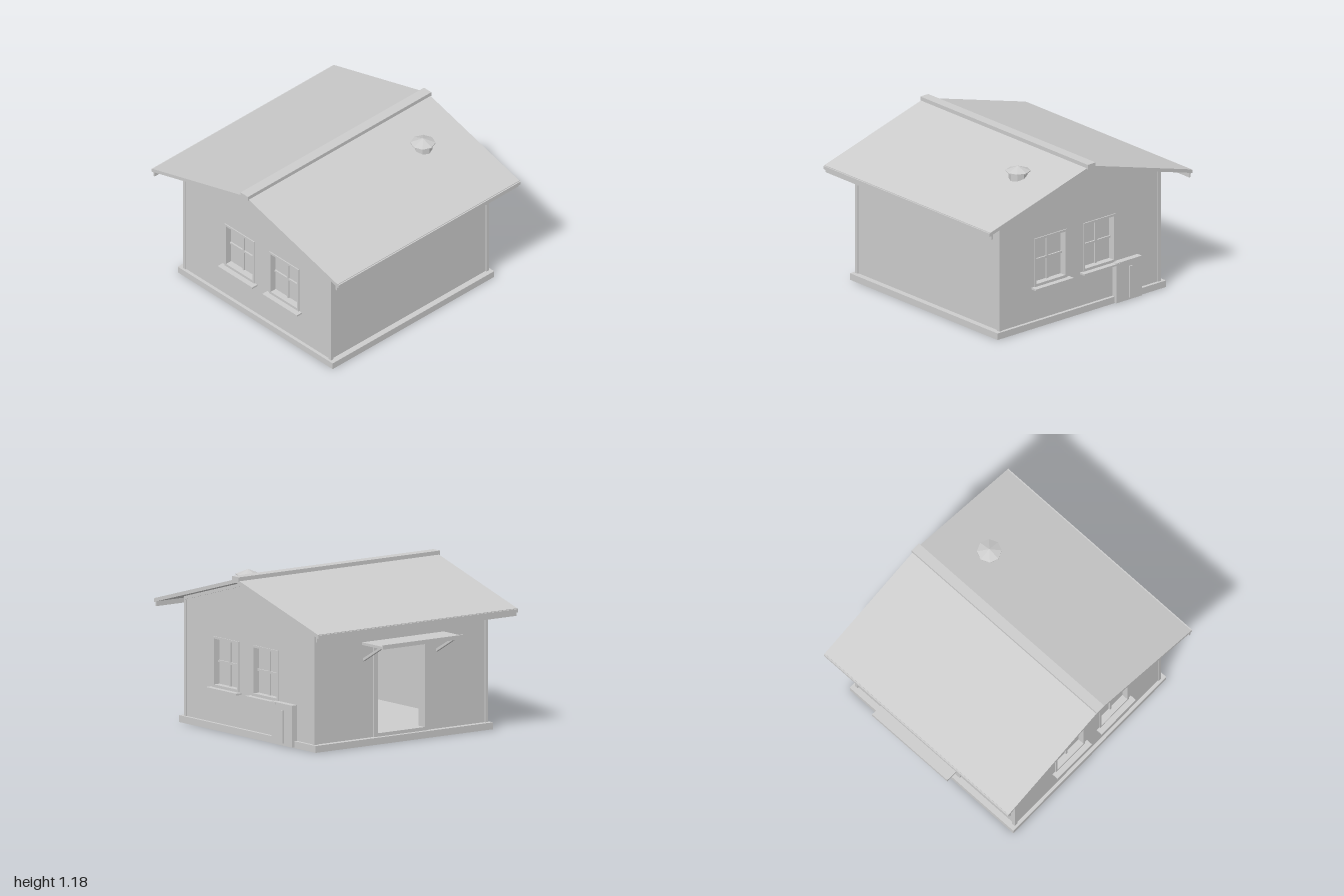
import * as THREE from 'three';

const ZC = 0.0325; // ridge line position in z
const WX = 0.775, WD = 0.757; // half width and half depth of the walls
const T = 0.05; // wall thickness

export function createModel() {
  const house = new THREE.Group();
  house.name = 'house';
  const grey = new THREE.MeshStandardMaterial({ color: 0xcccccc });
  grey.name = 'plain grey';

  const add = (name, geometry, parent = house) => {
    const mesh = new THREE.Mesh(geometry, grey);
    mesh.name = name;
    parent.add(mesh);
    return mesh;
  };
  // box given by its ranges
  const box = (name, x0, x1, y0, y1, z0, z1, parent) => {
    const g = new THREE.BoxGeometry(x1 - x0, y1 - y0, z1 - z0);
    g.translate((x0 + x1) / 2, (y0 + y1) / 2, (z0 + z1) / 2);
    return add(name, g, parent);
  };
  const polygon = (pts) => new THREE.Shape(pts.map(([a, b]) => new THREE.Vector2(a, b)));
  const rectPath = (a0, a1, b0, b1) =>
    new THREE.Path([[a0, b0], [a0, b1], [a1, b1], [a1, b0]].map(([a, b]) => new THREE.Vector2(a, b)));
  // side profile (z, y) extruded between two x positions
  const profile = (name, shape, x0, x1, parent) => {
    const g = new THREE.ExtrudeGeometry(shape, { depth: x1 - x0, bevelEnabled: false });
    g.rotateY(-Math.PI / 2);
    g.translate(x1, 0, 0);
    return add(name, g, parent);
  };
  // height of the roof underside at distance d from the ridge line
  const under = (d) => 1.135 - 0.2835 * d;
  // inverted V band following the roof slope
  const chevron = (half, low, high) => polygon([
    [ZC - half, under(half) + low], [ZC, under(0) + low], [ZC + half, under(half) + low],
    [ZC + half, under(half) + high], [ZC, under(0) + high], [ZC - half, under(half) + high],
  ]);

  // foundation and floor
  box('foundation', -0.8, 0.8, 0, 0.05, ZC - 0.802, ZC + 0.802);

  // front and back walls
  const top = under(WD);
  box('frontWall', -WX, WX, 0.05, top, ZC + WD - T, ZC + WD);
  const backShape = polygon([[-WX, 0.05], [WX, 0.05], [WX, top], [-WX, top]]);
  backShape.holes.push(rectPath(-0.22, 0.22, 0.07, 0.7));
  const back = new THREE.ExtrudeGeometry(backShape, { depth: T, bevelEnabled: false });
  back.translate(0, 0, ZC - WD);
  add('backWall', back);

  // gable walls with windows
  const windows = [0.311, -0.151];
  const wy0 = 0.31, wy1 = 0.675, wh = 0.152;
  for (const s of [-1, 1]) {
    const d = WD - T;
    const gable = polygon([[ZC - d, 0.05], [ZC + d, 0.05], [ZC + d, under(d)], [ZC, under(0)], [ZC - d, under(d)]]);
    for (const z of windows) gable.holes.push(rectPath(z - wh + 0.01, z + wh - 0.01, wy0, wy1 - 0.01));
    const side = (name, shape, a, b, parent) =>
      profile(name, shape, Math.min(s * a, s * b), Math.max(s * a, s * b), parent);
    const sideBox = (name, a, b, y0, y1, z0, z1, parent) =>
      box(name, Math.min(s * a, s * b), Math.max(s * a, s * b), y0, y1, z0, z1, parent);
    side('gableWall', gable, WX - T, WX);
    side('gableTrim', chevron(WD + 0.011, -0.025, 0), WX - 0.01, 0.783);

    for (const z of windows) {
      const win = new THREE.Group();
      win.name = 'window';
      house.add(win);
      const frame = polygon([[z - wh, wy0 - 0.005], [z + wh, wy0 - 0.005], [z + wh, wy1], [z - wh, wy1]]);
      frame.holes.push(rectPath(z - wh + 0.016, z + wh - 0.016, wy0 + 0.016, wy1 - 0.016));
      side('windowFrame', frame, WX - T, 0.783, win);
      sideBox('windowPane', WX - T, WX - T + 0.008, wy0, wy1 - 0.01, z - wh + 0.01, z + wh - 0.01, win);
      sideBox('verticalBar', WX - T, WX - 0.03, wy0, wy1 - 0.01, z - 0.008, z + 0.008, win);
      sideBox('crossBar', WX - T, WX - 0.03, 0.485, 0.5, z - wh + 0.01, z + wh - 0.01, win);
      sideBox('windowSill', WX - 0.01, 0.825, 0.293, 0.306, z - 0.179, z + 0.179, win);
    }

    // corner posts
    for (const t of [-1, 1]) {
      const z = ZC + t * 0.755;
      sideBox('cornerPost', 0.757, 0.783, 0.05, 0.895, z - 0.013, z + 0.013);
    }
  }

  // roof slab, ridge cap and eaves
  profile('roof', chevron(0.958, 0, 0.027), -0.9, 0.9);
  box('ridgeCap', -0.908, 0.908, 1.145, 1.18, ZC - 0.038, ZC + 0.038);
  for (const t of [-1, 1]) {
    const span = (name, a, b, y0, y1) =>
      box(name, -0.9, 0.9, y0, y1, ZC + Math.min(t * a, t * b), ZC + Math.max(t * a, t * b));
    span('eaveEdge', 0.95, 0.968, 0.862, 0.886);
    span('fascia', 0.936, 0.949, 0.834, 0.872);
  }

  // roof vent
  const vent = new THREE.Group();
  vent.name = 'roofVent';
  vent.position.set(0.517, 0, 0.392);
  house.add(vent);
  const flat = (g) => g.toNonIndexed();
  const stack = flat(new THREE.CylinderGeometry(0.067, 0.067, 0.11, 8));
  const rim = flat(new THREE.CylinderGeometry(0.09, 0.09, 0.006, 8));
  const cap = flat(new THREE.ConeGeometry(0.09, 0.036, 8));
  for (const [name, g, y] of [['ventStack', stack, 1.05], ['ventRim', rim, 1.105], ['ventCap', cap, 1.126]]) {
    g.computeVertexNormals();
    add(name, g, vent).position.y = y;
  }

  // back doorway frame and threshold
  const zb = ZC - WD;
  const door = new THREE.Group();
  door.name = 'doorway';
  house.add(door);
  for (const s of [-1, 1]) box('doorJamb', s * 0.228 - 0.018, s * 0.228 + 0.018, 0.05, 0.72, zb - 0.012, zb + T + 0.01, door);
  box('doorHead', -0.21, 0.21, 0.684, 0.72, zb - 0.012, zb + T + 0.01, door);
  box('threshold', -0.21, 0.21, 0.05, 0.075, zb - 0.012, zb + T + 0.01, door);

  // door canopy with sloping brackets
  box('canopy', -0.368, 0.368, 0.736, 0.755, -0.99, -0.753);
  box('canopyLip', -0.368, 0.368, 0.736, 0.767, -1, -0.988);
  const strut = polygon([[-0.725, 0.61], [-0.725, 0.632], [-0.925, 0.74], [-0.96, 0.74]]);
  for (const s of [-1, 1]) profile('canopyBracket', strut, s * 0.33 - 0.01, s * 0.33 + 0.01);

  // utility cabinet on the gable side
  box('utilityCabinet', 0.76, 0.822, 0.005, 0.31, -0.52, -0.28);
  box('cabinetHandle', 0.82, 0.832, 0.022, 0.262, -0.424, -0.397);

  return house;
}
